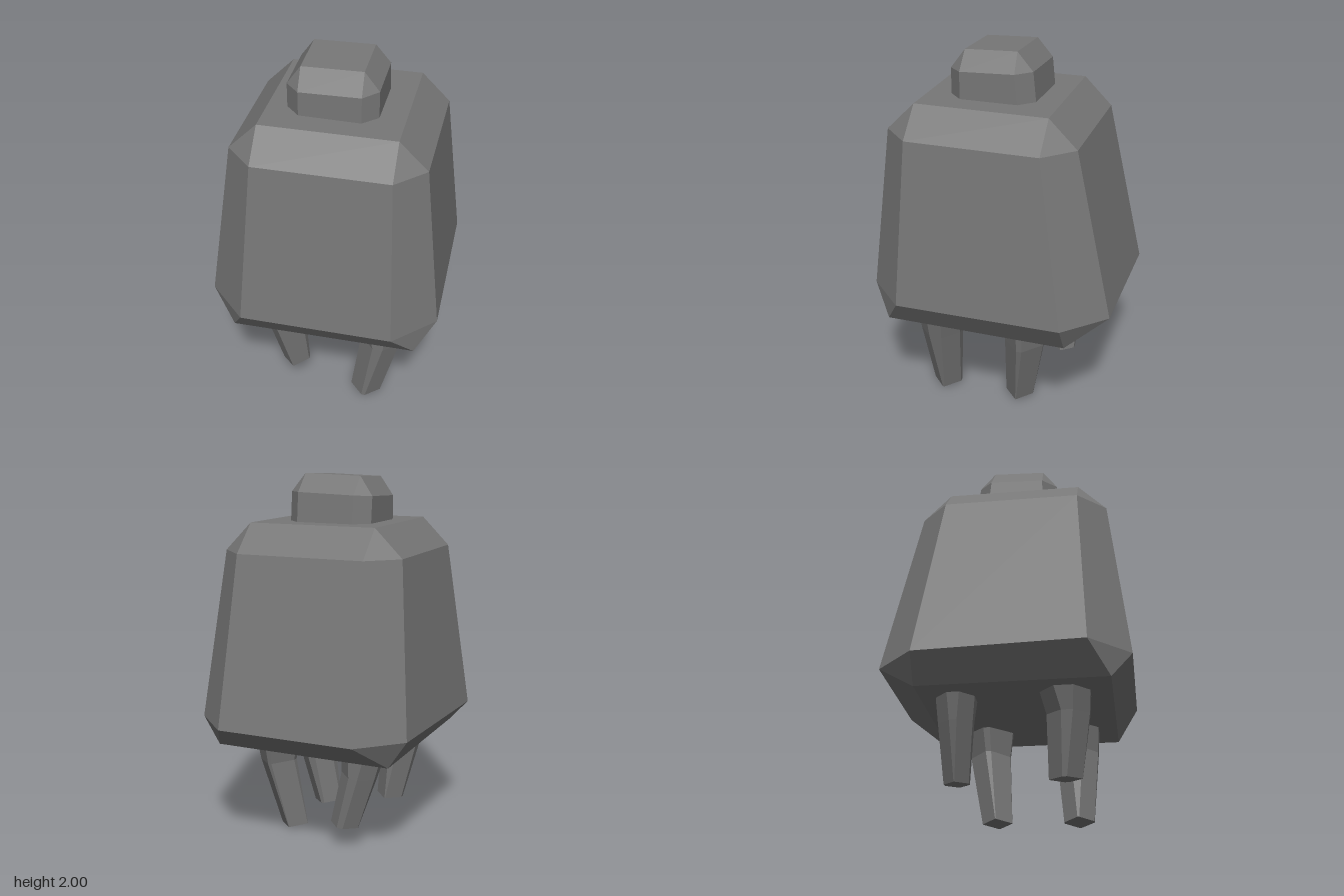
import * as THREE from 'three';

const material = new THREE.MeshStandardMaterial({ color: 0x777777 });

// Chamfered rectangle as 8 points, counter-clockwise from above; tilt adds a small lean
function ring(y, x0, x1, z0, z1, c, tilt = () => [0, 0]) {
  return [
    [x1, z1 - c], [x1, z0 + c], [x1 - c, z0], [x0 + c, z0],
    [x0, z0 + c], [x0, z1 - c], [x0 + c, z1], [x1 - c, z1],
  ].map(([x, z]) => {
    const [dy, dz] = tilt(x, z);
    return new THREE.Vector3(x, y + dy, z + dz);
  });
}

// Skins a stack of rings from bottom to top and caps both ends; each panel has one normal
function loft(name, rings) {
  const positions = [], normals = [];
  const face = (points) => {
    const normal = new THREE.Vector3();
    points.forEach((p, i) => normal.add(p.clone().cross(points[(i + 1) % points.length])));
    normal.normalize();
    for (let i = 1; i < points.length - 1; i++) {
      const [a, b, c] = [points[0], points[i], points[i + 1]];
      if (b.clone().sub(a).cross(c.clone().sub(a)).length() < 1e-7) continue;
      for (const p of [a, b, c]) {
        positions.push(p.x, p.y, p.z);
        normals.push(normal.x, normal.y, normal.z);
      }
    }
  };
  for (let k = 0; k < rings.length - 1; k++) {
    const lo = rings[k], hi = rings[k + 1];
    for (let i = 0; i < 8; i++) {
      const j = (i + 1) % 8;
      face([lo[i], lo[j], hi[j], hi[i]]);
    }
  }
  face([...rings[0]].reverse());
  face(rings[rings.length - 1]);
  const geometry = new THREE.BufferGeometry();
  geometry.setAttribute('position', new THREE.Float32BufferAttribute(positions, 3));
  geometry.setAttribute('normal', new THREE.Float32BufferAttribute(normals, 3));
  const mesh = new THREE.Mesh(geometry, material);
  mesh.name = name;
  return mesh;
}

export function createModel() {
  const group = new THREE.Group();
  group.name = 'squatFigure';

  // Tapered body with chamfered edges; its widest ring is slightly skewed
  const hip = [
    [0.615, 0.445], [0.605, -0.45], [0.39, -0.66], [-0.37, -0.66],
    [-0.58, -0.45], [-0.62, 0.435], [-0.405, 0.65], [0.405, 0.655],
  ].map(([x, z]) => new THREE.Vector3(x, 0.7, z));
  group.add(loft('body', [
    ring(0.55, -0.48, 0.51, -0.45, 0.54, 0),
    hip,
    ring(1.6, -0.49, 0.52, -0.46, 0.55, 0.15),
    ring(1.75, -0.34, 0.37, -0.31, 0.40, 0),
  ]));

  // Small head, leaning slightly
  const lean = (x, z) => [0.03 * x - 0.04 * z, 0.025 * x];
  group.add(loft('head', [
    ring(1.7, -0.238, 0.235, -0.19, 0.272, 0.075, lean),
    ring(1.895, -0.238, 0.235, -0.17, 0.272, 0.075, lean),
    ring(1.995, -0.165, 0.157, -0.085, 0.195, 0, lean),
  ]));

  // Legs: each section is [y, x0, x1, z0, z1, chamfer], from diamond-shaped foot to hip
  const legs = {
    frontLeftLeg: [[0.012, 0.13, 0.30, 0.24, 0.40, 0.075], [0.42, 0.19, 0.405, 0.20, 0.43, 0.08], [0.6, 0.14, 0.45, 0.17, 0.44, 0.09]],
    backLeftLeg: [[0.02, 0.14, 0.30, -0.20, -0.04, 0.078], [0.42, 0.19, 0.40, -0.28, -0.06, 0.095], [0.6, 0.15, 0.43, -0.32, -0.04, 0.12]],
    frontRightLeg: [[0.122, -0.28, -0.13, 0.20, 0.37, 0.073], [0.45, -0.36, -0.15, 0.20, 0.42, 0.08], [0.6, -0.41, -0.15, 0.16, 0.43, 0.08]],
    backRightLeg: [[0.125, -0.24, -0.08, -0.34, -0.21, 0.063], [0.43, -0.34, -0.15, -0.36, -0.18, 0.07], [0.6, -0.39, -0.15, -0.37, -0.16, 0.07]],
  };
  const splay = (x) => [0.1 * (0.2 - Math.abs(x)), 0];
  for (const [name, sections] of Object.entries(legs)) {
    group.add(loft(name, sections.map((s) => ring(...s, splay))));
  }
  return group;
}
